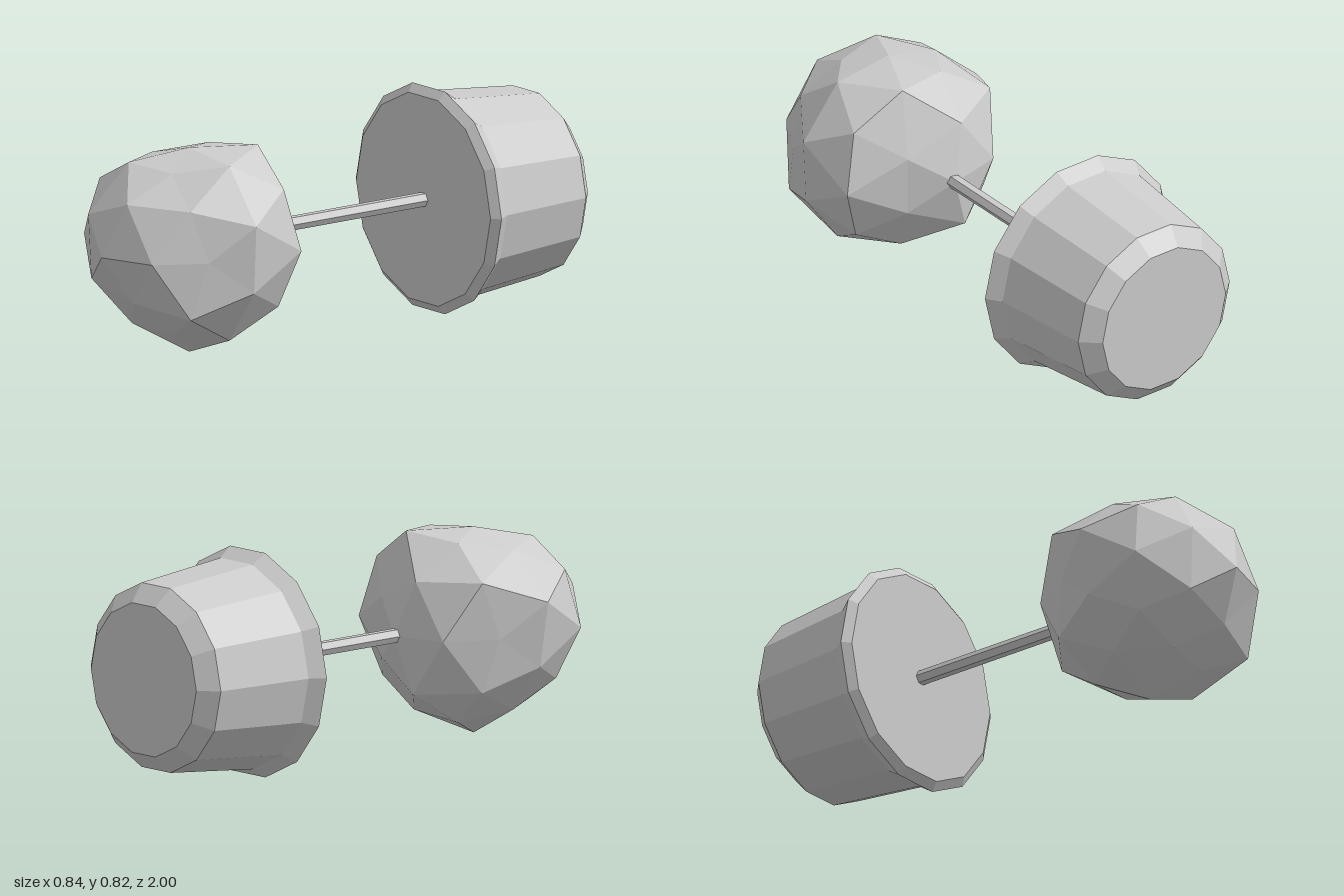
import * as THREE from 'three';

const CENTER_Y = 0.41;

// Split faces apart so every facet gets its own normal
function faceted(geometry) {
  const flat = geometry.index ? geometry.toNonIndexed() : geometry;
  flat.computeVertexNormals();
  return flat;
}

// Faceted leaf ball: a subdivided icosahedron with its pole on z,
// each ring of corners pushed in or out by its own factors
function foliageGeometry(radius) {
  const rings = [ // height along z, first angle in degrees, factors counter-clockwise
    { z: 1, start: 0, factors: [1] },
    { z: 0.851, start: 0, factors: [0.975, 0.98, 0.97, 0.94, 0.87] },
    { z: 0.526, start: 36, factors: [0.91, 0.94, 1, 0.89, 1.03] },
    { z: 0.447, start: 0, factors: [0.87, 0.855, 1, 0.9, 0.88] },
    { z: 0, start: 18, factors: [1.02, 0.99, 0.87, 0.905, 1.04, 0.93, 0.895, 1.01, 0.99, 0.987] },
    { z: -0.447, start: 36, factors: [1.06, 0.95, 0.88, 0.97, 1] },
    { z: -0.526, start: 0, factors: [1.07, 1.07, 1.05, 0.98, 0.95] },
    { z: -0.851, start: 36, factors: [0.9, 1, 1, 1.05, 0.9] },
    { z: -1, start: 0, factors: [0.97] },
  ];
  const corners = rings.flatMap(({ z, start, factors }) => factors.map((factor, i) => {
    const a = THREE.MathUtils.degToRad(start + (i * 360) / factors.length);
    const r = Math.sqrt(1 - z * z);
    return { dir: new THREE.Vector3(r * Math.cos(a), r * Math.sin(a), z), factor };
  }));

  const geometry = new THREE.IcosahedronGeometry(1, 1);
  geometry.rotateX(Math.atan(2 / (1 + Math.sqrt(5))));
  geometry.rotateZ(Math.PI / 2);
  const pos = geometry.attributes.position;
  const v = new THREE.Vector3();
  for (let i = 0; i < pos.count; i++) {
    v.fromBufferAttribute(pos, i);
    const nearest = corners.reduce((a, b) => (b.dir.dot(v) > a.dir.dot(v) ? b : a));
    v.multiplyScalar(radius * nearest.factor);
    pos.setXYZ(i, v.x, v.y, v.z);
  }
  return faceted(geometry);
}

export function createModel() {
  const model = new THREE.Group();
  model.name = 'pottedTree';
  const grey = new THREE.MeshStandardMaterial({ color: 0xcccccc });
  grey.name = 'light grey';

  function add(name, geometry, z) {
    const mesh = new THREE.Mesh(geometry, grey);
    mesh.name = name;
    mesh.position.set(0, CENTER_Y, z);
    model.add(mesh);
  }

  // Closed 14-sided pot with a bevelled foot and a flared rim, lying along z
  const profile = [[0, -1], [0.28, -1], [0.345, -0.94], [0.383, -0.55], [0.42, -0.495], [0.388, -0.47], [0, -0.47]]
    .map(([r, z]) => new THREE.Vector2(r, z));
  const pot = new THREE.LatheGeometry(profile, 14, Math.PI / 2);
  pot.rotateX(Math.PI / 2);
  add('pot', faceted(pot), 0);

  // Thin six-sided trunk from the soil into the foliage
  const trunk = new THREE.CylinderGeometry(0.027, 0.027, 0.76, 6, 1, false, Math.PI / 2);
  trunk.rotateX(Math.PI / 2);
  add('trunk', faceted(trunk), -0.1);

  // Leaf ball
  add('foliage', foliageGeometry(0.4), 0.6);

  return model;
}
